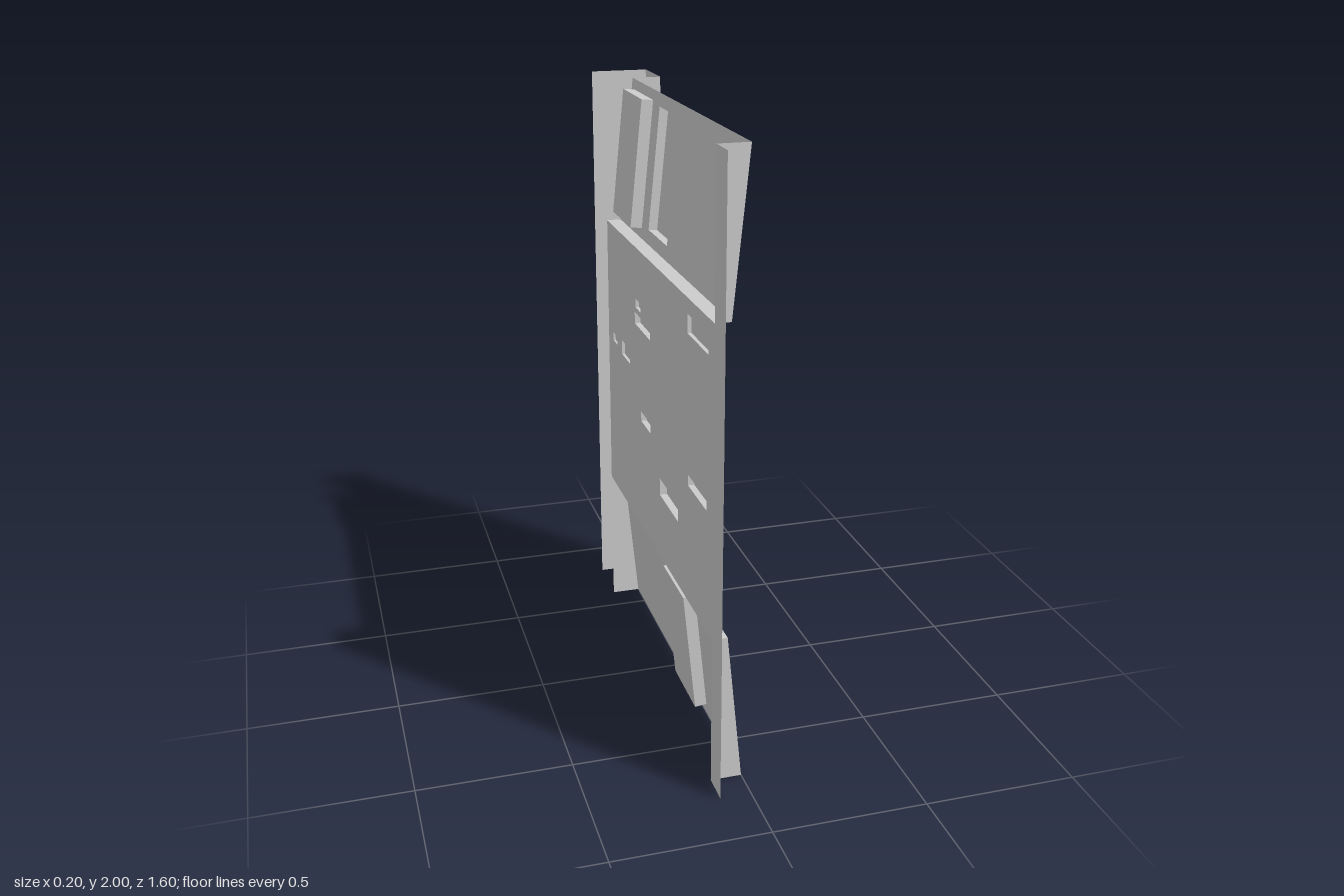
import * as THREE from 'three';

const material = new THREE.MeshStandardMaterial({ color: 0xcccccc, side: THREE.DoubleSide, flatShading: true });

function add(parent, name, geometry) {
  const mesh = new THREE.Mesh(geometry, material);
  mesh.name = name;
  parent.add(mesh);
  return mesh;
}

// Thin sheet made of four-cornered faces
function quads(list) {
  const position = [];
  for (const [a, b, c, d] of list) position.push(...a, ...b, ...c, ...a, ...c, ...d);
  const geometry = new THREE.BufferGeometry();
  geometry.setAttribute('position', new THREE.Float32BufferAttribute(position, 3));
  geometry.computeVertexNormals();
  return geometry;
}

// Vertical folded sheet following an (x, z) path
function foldedWall(path, y0, y1) {
  return quads(path.slice(1).map(([x, z], i) => {
    const [px, pz] = path[i];
    return [[px, y0, pz], [x, y0, z], [x, y1, z], [px, y1, pz]];
  }));
}

// Corners of a rectangle [z0, z1, y0, y1] with z0 > z1, as (u = -z, v = y)
const corners = ([z0, z1, y0, y1]) => [[-z0, y0], [-z1, y0], [-z1, y1], [-z0, y1]]
  .map(([u, v]) => new THREE.Vector2(u, v));

// Sheet at x = x0 + slope * y, pressed out (depth > 0) or in (depth < 0) at each pocket
function pressedPanel(name, x0, slope, rect, pockets) {
  const group = new THREE.Group();
  group.name = name;
  const normal = new THREE.Vector3(1, -slope, 0).normalize();
  const place = (p, depth) => new THREE.Vector3(x0 + slope * p.y, p.y, -p.x)
    .addScaledVector(normal, depth).toArray();

  const shape = new THREE.Shape(corners(rect));
  for (const p of pockets) shape.holes.push(new THREE.Path(corners(p.rect).reverse()));
  const sheet = new THREE.ShapeGeometry(shape);
  const pos = sheet.attributes.position;
  for (let i = 0; i < pos.count; i++) {
    pos.setXYZ(i, ...place(new THREE.Vector2(pos.getX(i), pos.getY(i)), 0));
  }
  sheet.computeVertexNormals();
  add(group, 'sheet', sheet);

  for (const { name: pocketName, rect: r, depth } of pockets) {
    const c = corners(r);
    const faces = c.map((p, i) => {
      const q = c[(i + 1) % 4];
      return [place(p, 0), place(q, 0), place(q, depth), place(p, depth)];
    });
    faces.push(c.map((p) => place(p, depth)));
    add(group, pocketName, quads(faces));
  }
  return group;
}

export function createModel() {
  const model = new THREE.Group();
  model.name = 'pressedWallPanel';

  // Flat middle panel with small raised blocks
  const blocks = [
    [0.645, 0.43, 1.39, 1.45, 0.012],
    [-0.13, -0.20, 1.29, 1.32, 0.012],
    [-0.01, -0.21, 1.23, 1.27, 0.02],
    [-0.285, -0.40, 1.058, 1.11, 0.01],
    [-0.47, -0.53, 1.07, 1.10, 0.008],
    [0.635, 0.44, 0.90, 0.935, 0.02],
    [-0.01, -0.135, 0.90, 0.935, 0.02],
    [0.325, 0.105, 0.725, 0.785, 0.025],
  ].map((b) => ({ name: 'raisedBlock', rect: b.slice(0, 4), depth: b[4] }));
  model.add(pressedPanel('middlePanel', -0.1, 0, [0.8, -0.6, 0.5, 1.5], blocks));

  // Sloped upper and lower panels with a raised and two sunken plates
  model.add(pressedPanel('upperPanel', -0.2, 0.1, [0.7, -0.6, 1.5, 2], [
    { name: 'raisedPlate', rect: [0.005, -0.225, 1.548, 1.956], depth: 0.03 },
    { name: 'sunkenPlate', rect: [-0.31, -0.562, 1.535, 1.965], depth: -0.04 },
  ]));
  model.add(pressedPanel('lowerPanel', 0, -0.1, [0.7, -0.6, 0, 0.5], [
    { name: 'sunkenPlate', rect: [0.338, 0.095, 0.04, 0.458], depth: -0.04 },
  ]));

  // Ledge, end wall and edge flange beside each sloped panel
  for (const [name, inner, outer] of [['upper', 1.5, 2], ['lower', 0.5, 0]]) {
    add(model, name + 'Ledge', quads([
      [[-0.1, inner, 0.7], [-0.05, inner, 0.7], [-0.05, inner, -0.6], [-0.1, inner, -0.6]],
    ]));
    add(model, name + 'EndWall', quads([
      [[-0.1, outer, 0.7], [0, outer, 0.7], [-0.05, inner, 0.7], [-0.1, inner, 0.7]],
    ]));
    add(model, name + 'Flange', foldedWall([[-0.1, 0.8], [-0.1, 0.7]], Math.min(inner, outer), Math.max(inner, outer)));
  }

  // Channel post along the rear edge, open on one side
  add(model, 'channelPost', foldedWall([[-0.1, -0.6], [0.1, -0.6], [0.1, -0.8], [-0.1, -0.8]], 0, 2));

  return model;
}
